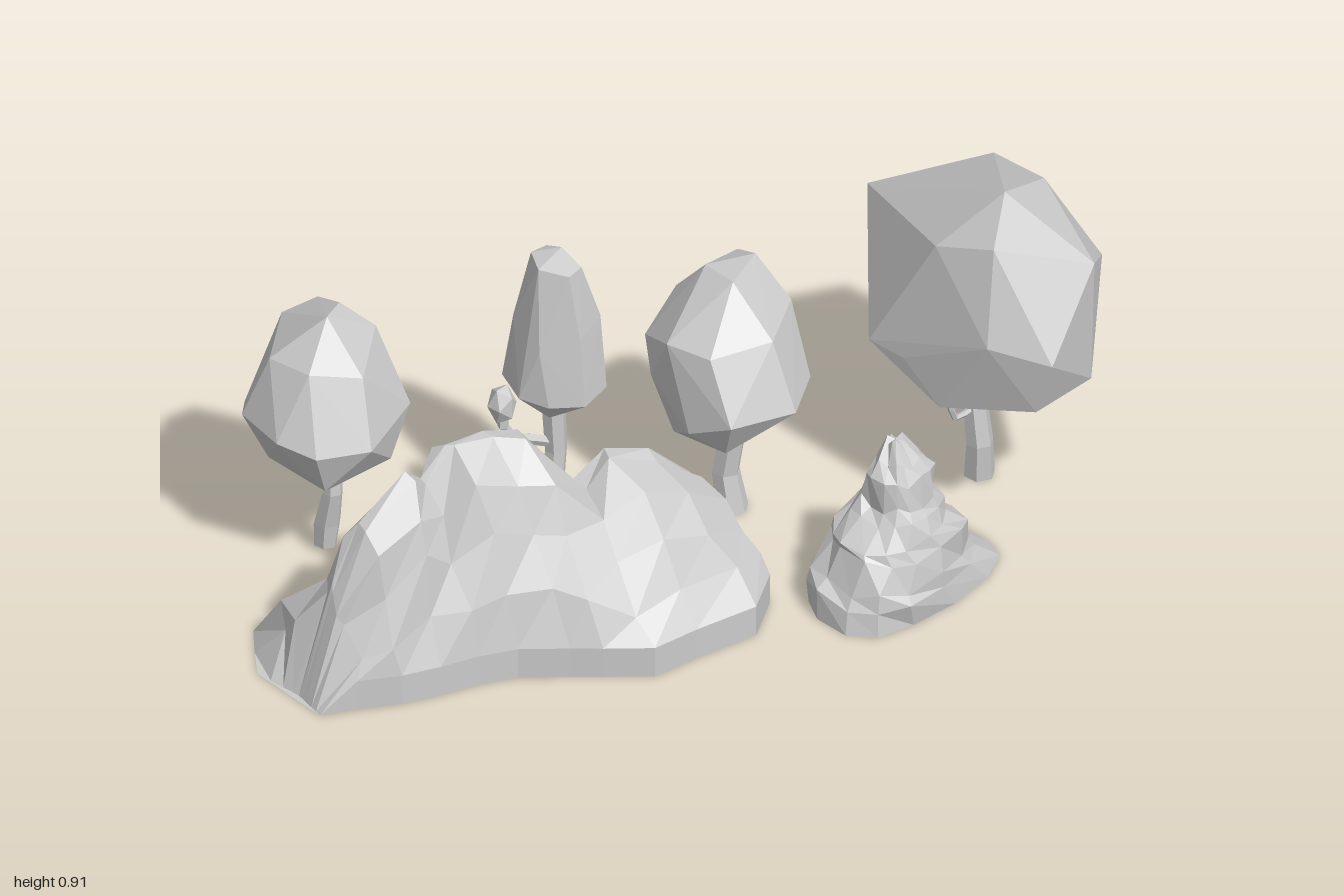
import * as THREE from 'three';
import { ConvexGeometry } from 'three/addons/geometries/ConvexGeometry.js';

const material = new THREE.MeshStandardMaterial({ color: 0xcccccc, flatShading: true });
const V = (x, y, z) => new THREE.Vector3(x, y, z);
// repeatable pseudo-random value in -0.5..0.5
const noise = (a, b) => {
  const s = Math.sin(a * 12.9898 + b * 78.233) * 43758.5453;
  return s - Math.floor(s) - 0.5;
};

function mesh(name, geometry) {
  const m = new THREE.Mesh(geometry, material);
  m.name = name;
  return m;
}

// faceted skin over closed cross-sections, with end caps
function loft(rings) {
  const pos = [];
  const tri = (...pts) => pts.forEach((p) => pos.push(p.x, p.y, p.z));
  const n = rings[0].length;
  for (let i = 0; i < rings.length - 1; i++) {
    for (let j = 0; j < n; j++) {
      const k = (j + 1) % n;
      const a = rings[i][j], b = rings[i + 1][j], c = rings[i + 1][k], d = rings[i][k];
      tri(a, b, c);
      tri(a, c, d);
    }
  }
  [rings[0], rings[rings.length - 1]].forEach((end, last) => {
    const mid = end.reduce((s, p) => s.add(p), V(0, 0, 0)).divideScalar(n);
    end.forEach((p, j) => {
      const q = end[(j + 1) % n];
      if (last) tri(mid, q, p);
      else tri(mid, p, q);
    });
  });
  const g = new THREE.BufferGeometry();
  g.setAttribute('position', new THREE.Float32BufferAttribute(pos, 3));
  g.computeVertexNormals();
  return g;
}

// horizontal ring; power below 1 makes it boxier
function ring(x, y, z, rx, rz, n, power = 1, wobble = 0, seed = 0) {
  const bow = (v) => Math.sign(v) * Math.abs(v) ** power;
  return Array.from({ length: n }, (_, j) => {
    const t = ((j + 0.5) / n) * Math.PI * 2;
    const k = 1 + wobble * noise(j, seed);
    const lift = y > 0 ? wobble * 0.2 * noise(seed, j) : 0;
    return V(x + bow(Math.cos(t)) * rx * k, y + lift, z + bow(Math.sin(t)) * rz * k);
  });
}

// tree: crooked trunk [x, y, z, radius] below a faceted crown
function tree(name, trunk, crown) {
  const g = new THREE.Group();
  g.name = name;
  g.add(mesh('trunk', loft(trunk.map(([x, y, z, r]) => ring(x, y, z, r, r, 6)))));
  g.add(mesh('crown', new ConvexGeometry(crown.map((p) => V(...p)))));
  return g;
}

function branch(points, r) {
  const curve = new THREE.CatmullRomCurve3(points.map((p) => V(...p)));
  return mesh('branch', new THREE.TubeGeometry(curve, 4, r, 5));
}

// ridge: stations of front foot (x, z), crest (x, y, z), back foot (x, z)
function ridge() {
  const stations = [
    [-0.995, -0.13, -0.965, 0, -0.22, -0.96, -0.35],
    [-0.92, -0.08, -0.88, 0.29, -0.19, -0.9, -0.41],
    [-0.835, -0.015, -0.81, 0.43, -0.17, -0.835, -0.47],
    [-0.75, 0.03, -0.69, 0.53, -0.13, -0.76, -0.41],
    [-0.66, 0.07, -0.635, 0.48, -0.13, -0.65, -0.37],
    [-0.58, 0.12, -0.57, 0.55, -0.11, -0.52, -0.34],
    [-0.5, 0.21, -0.46, 0.54, -0.09, -0.42, -0.32],
    [-0.45, 0.27, -0.37, 0.51, -0.06, -0.35, -0.29],
    [-0.37, 0.36, -0.28, 0.36, 0.03, -0.26, -0.13],
    [-0.25, 0.385, -0.2, 0.42, 0.06, -0.15, -0.08],
    [-0.09, 0.43, -0.1, 0.39, 0.11, -0.04, -0.04],
    [0.03, 0.37, 0, 0.28, 0.16, 0.04, -0.01],
    [0.075, 0.29, 0.06, 0.18, 0.17, 0.08, 0.06],
    [0.09, 0.24, 0.09, 0.09, 0.18, 0.09, 0.12],
  ];
  // share of the way to the crest, share of the crest height
  const front = [[0.2, 0.38], [0.42, 0.64], [0.62, 0.84], [0.86, 0.98]];
  const flared = [[0.86, 0.88], [0.62, 0.56], [0.32, 0.27], [0, 0]];
  const steep = [[0.85, 0.95], [0.6, 0.73], [0.33, 0.45], [0, 0.14]];
  const rings = stations.map(([fx, fz, cx, cy, cz, bx, bz], i) => {
    const wall = Math.min(0.08, cy * 0.7);
    const w = cy > 0.2 ? 0.035 : 0;
    const slope = (x, z, [t, h], j) => {
      const s = t > 0 ? w : 0;
      return V(
        x + (cx - x) * t + s * noise(i, j),
        Math.max(cy * h, t > 0 ? Math.min(wall, cy * h + 0.04) : 0) + s * noise(j, i + 5),
        z + (cz - z) * t + s * noise(i + 9, j),
      );
    };
    return [
      V(fx, 0, fz), V(fx, wall, fz),
      ...front.map((p, j) => slope(fx, fz, p, j)),
      V(cx, cy, cz),
      ...(i < 5 ? flared : steep).map((p, j) => slope(bx, bz, p, j + 6)),
      V(bx, 0, bz),
    ];
  });
  return mesh('rockRidge', loft(rings));
}

// small boulder: layers of y, x range, z range
function boulder() {
  const layers = [
    [0, 0.045, 0.565, 0.385, 0.7],
    [0.07, 0.05, 0.49, 0.38, 0.7],
    [0.1, 0.07, 0.46, 0.39, 0.69],
    [0.17, 0.11, 0.43, 0.41, 0.695],
    [0.2, 0.11, 0.385, 0.44, 0.67],
    [0.24, 0.16, 0.37, 0.46, 0.655],
    [0.27, 0.19, 0.345, 0.48, 0.635],
    [0.34, 0.19, 0.35, 0.495, 0.63],
    [0.375, 0.215, 0.32, 0.51, 0.605],
    [0.42, 0.25, 0.285, 0.53, 0.57],
  ];
  return mesh('boulder', loft(layers.map(([y, x0, x1, z0, z1], i) =>
    ring((x0 + x1) / 2, y, (z0 + z1) / 2, (x1 - x0) / 2, (z1 - z0) / 2, 14, 0.82, 0.13, i + 1))));
}

export function createModel() {
  const group = new THREE.Group();
  group.name = 'rocksAndTrees';
  group.add(ridge(), boulder());

  // large tree with two bare twigs
  const large = tree('largeTree',
    [[0.745, 0, 0.4, 0.038], [0.735, 0.1, 0.41, 0.033], [0.735, 0.22, 0.395, 0.03], [0.75, 0.4, 0.4, 0.034]],
    [[0.66, 0.91, 0.55], [0.55, 0.83, 0.61], [0.86, 0.82, 0.5], [0.72, 0.69, 0.08], [0.72, 0.43, 0.1],
      [0.95, 0.74, 0.27], [0.9, 0.37, 0.28], [1, 0.55, 0.42], [0.95, 0.6, 0.6], [0.77, 0.73, 0.73],
      [0.56, 0.57, 0.78], [0.56, 0.42, 0.73], [0.77, 0.4, 0.72], [0.485, 0.6, 0.645], [0.485, 0.37, 0.5],
      [0.485, 0.46, 0.39], [0.49, 0.46, 0.28], [0.6, 0.37, 0.62], [0.76, 0.35, 0.4], [0.9, 0.36, 0.4],
      [0.9, 0.36, 0.55], [0.53, 0.78, 0.45]]);
  large.add(branch([[0.73, 0.2, 0.4], [0.66, 0.2, 0.4], [0.635, 0.27, 0.4]], 0.008));
  large.add(branch([[0.74, 0.27, 0.39], [0.74, 0.29, 0.31], [0.74, 0.34, 0.27]], 0.01));

  // round tree beside the boulder
  const round = tree('roundTree',
    [[0.27, 0, 0.05, 0.04], [0.265, 0.1, 0.035, 0.034], [0.27, 0.2, 0.05, 0.033], [0.27, 0.32, 0.055, 0.038]],
    [[0.095, 0.53, 0], [0.25, 0.655, 0.07], [0.27, 0.65, -0.03], [0.39, 0.64, 0.02], [0.47, 0.53, -0.08],
      [0.49, 0.4, 0.03], [0.45, 0.35, -0.13], [0.27, 0.38, -0.155], [0.27, 0.55, -0.12], [0.12, 0.4, -0.07],
      [0.08, 0.32, 0.08], [0.09, 0.38, 0.2], [0.24, 0.38, 0.27], [0.24, 0.55, 0.2], [0.375, 0.38, 0.2],
      [0.4, 0.55, 0.12], [0.43, 0.26, 0], [0.27, 0.25, 0.1], [0.13, 0.27, 0.15], [0.35, 0.26, 0.12],
      [0.27, 0.26, -0.08], [0.12, 0.27, 0], [0.42, 0.6, -0.06], [0.11, 0.53, 0.12], [0.17, 0.46, -0.13]]);

  // slender tree with a side branch carrying a tuft
  const slender = tree('slenderTree',
    [[-0.06, 0, -0.22, 0.038], [-0.065, 0.1, -0.215, 0.03], [-0.055, 0.22, -0.21, 0.027], [-0.06, 0.38, -0.215, 0.03]],
    [[-0.13, 0.77, -0.2], [-0.09, 0.755, -0.14], [-0.04, 0.755, -0.145], [-0.035, 0.78, -0.21], [-0.01, 0.75, -0.25],
      [-0.08, 0.765, -0.265], [-0.03, 0.76, -0.26], [0.05, 0.53, -0.22], [0.04, 0.34, -0.18], [0, 0.36, -0.33],
      [0, 0.55, -0.305], [-0.125, 0.42, -0.315], [-0.12, 0.6, -0.285], [-0.165, 0.41, -0.23], [-0.15, 0.55, -0.18],
      [-0.14, 0.4, -0.16], [-0.08, 0.4, -0.1], [-0.08, 0.58, -0.115], [0.015, 0.4, -0.115], [0.01, 0.6, -0.13],
      [-0.05, 0.3, -0.24], [0, 0.32, -0.2], [-0.09, 0.33, -0.2]]);
  slender.add(branch([[-0.06, 0.24, -0.215], [-0.14, 0.28, -0.245], [-0.18, 0.3, -0.255], [-0.19, 0.39, -0.26]], 0.014));
  const tuft = mesh('tuft', new THREE.IcosahedronGeometry(0.036, 0));
  tuft.scale.y = 1.5;
  tuft.position.set(-0.19, 0.395, -0.26);
  slender.add(tuft);

  // tree behind the ridge
  const rear = tree('rearTree',
    [[-0.47, 0.015, -0.56, 0.028], [-0.47, 0.08, -0.555, 0.033], [-0.48, 0.18, -0.53, 0.025], [-0.47, 0.33, -0.54, 0.027]],
    [[-0.5, 0.685, -0.53], [-0.42, 0.67, -0.56], [-0.6, 0.585, -0.5], [-0.6, 0.58, -0.62], [-0.38, 0.62, -0.66],
      [-0.45, 0.59, -0.71], [-0.36, 0.6, -0.5], [-0.5, 0.56, -0.42], [-0.64, 0.42, -0.67], [-0.53, 0.36, -0.755],
      [-0.44, 0.36, -0.775], [-0.32, 0.38, -0.73], [-0.275, 0.4, -0.68], [-0.27, 0.42, -0.53], [-0.33, 0.4, -0.42],
      [-0.54, 0.4, -0.36], [-0.65, 0.4, -0.435], [-0.68, 0.42, -0.53], [-0.6, 0.28, -0.45], [-0.4, 0.28, -0.42],
      [-0.35, 0.29, -0.6], [-0.45, 0.28, -0.74], [-0.58, 0.28, -0.64], [-0.49, 0.27, -0.55]]);

  group.add(large, round, slender, rear);
  return group;
}
